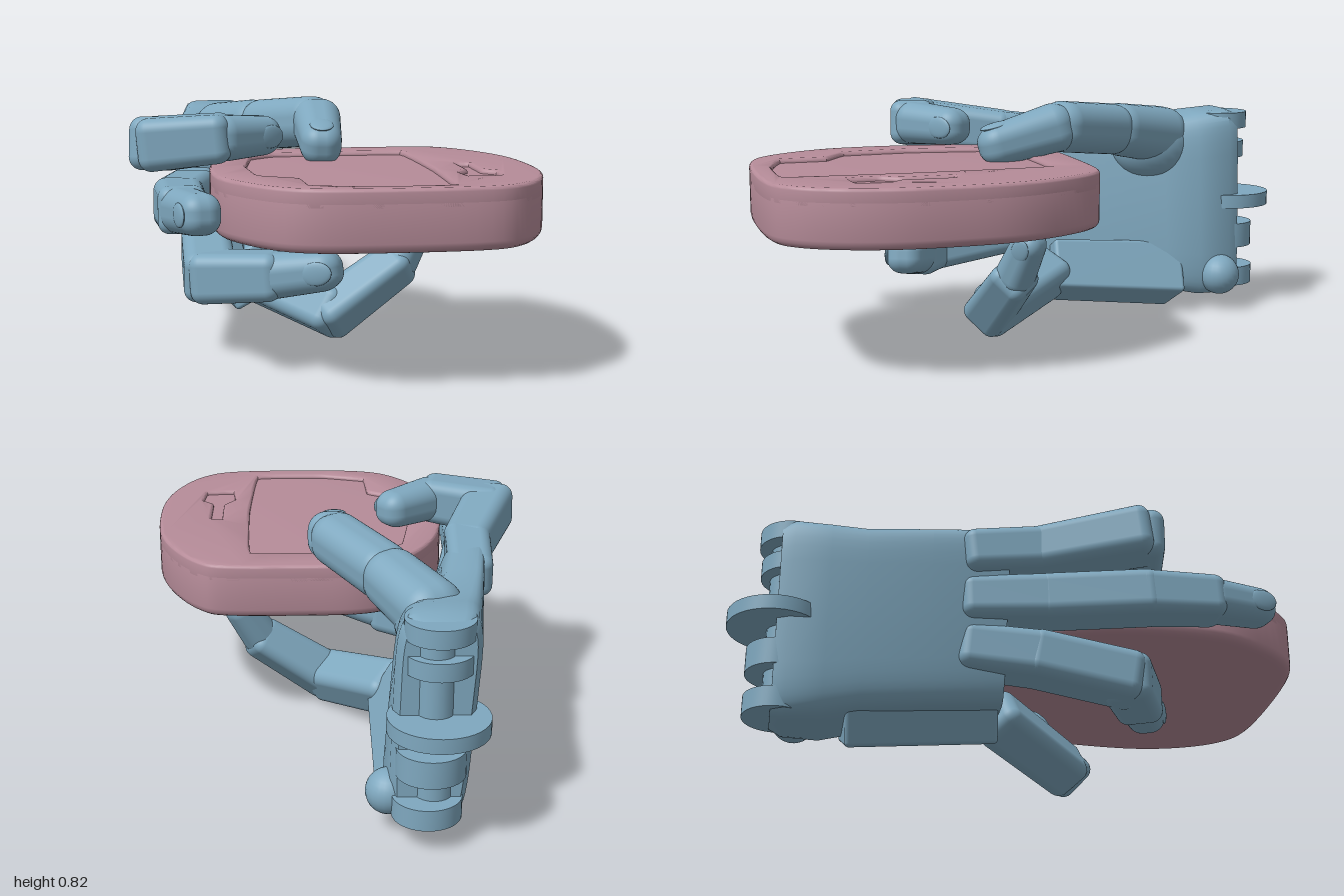
import * as THREE from 'three';
import { toCreasedNormals } from 'three/addons/utils/BufferGeometryUtils.js';
import { RoundedBoxGeometry } from 'three/addons/geometries/RoundedBoxGeometry.js';

const blue = new THREE.MeshStandardMaterial({ color: 0x7fa8bf });
const pink = new THREE.MeshStandardMaterial({ color: 0xb68c99 });
const V = (p) => new THREE.Vector3(...p);

function add(parent, name, geometry, material = blue) {
  const mesh = new THREE.Mesh(geometry, material);
  mesh.name = name;
  parent.add(mesh);
  return mesh;
}

// Tapered rounded block from a to b; its local x is the hinge axis and y the back of the finger
function segment(parent, name, a, b, r0, r1, hinge, tip, soft) {
  const dir = b.clone().sub(a);
  const back = r0 * 0.6, front = tip ? 0 : r1 * 0.55;
  const length = dir.length() + back + front;
  dir.normalize();
  const geo = new RoundedBoxGeometry(2, 2, length / r0, 5, soft);
  const pos = geo.attributes.position;
  for (let i = 0; i < pos.count; i++) {
    const t = pos.getZ(i) * r0 / length + 0.5;
    const r = THREE.MathUtils.lerp(r0, r1, t);
    pos.setXYZ(i, pos.getX(i) * r, pos.getY(i) * r, pos.getZ(i) * r0);
  }
  const mesh = add(parent, name, geo);
  const y = dir.clone().cross(hinge).normalize();
  const x = y.clone().cross(dir);
  mesh.quaternion.setFromRotationMatrix(new THREE.Matrix4().makeBasis(x, y, dir));
  mesh.position.copy(a).addScaledVector(dir, (length / 2) - back);
  if (tip) {
    const nail = add(mesh, 'nail', new THREE.SphereGeometry(1, 16, 10));
    nail.scale.set(r1 * 0.62, r1 * 0.16, r1 * 0.85);
    nail.position.set(0, r1, length / 2 - r1 * 1.15);
  }
}

// A finger is a chain of segments; the hinge follows from its curl unless given
function finger(parent, name, points, radii, hinge, soft = 0.5) {
  const group = new THREE.Group();
  group.name = name;
  parent.add(group);
  const p = points.map(V), n = p.length - 1;
  const axis = hinge ? V(hinge)
    : p[1].clone().sub(p[0]).cross(p[n].clone().sub(p[n - 1])).normalize();
  for (let i = 0; i < n; i++) {
    const tip = i === n - 1;
    segment(group, tip ? 'fingertip' : 'phalanx', p[i], p[i + 1],
      radii[i], radii[i + 1], axis, tip, tip ? 0.8 : soft);
  }
}

// Palm: rounded four-cornered sections along z, thick at the wrist and thin at the knuckles
function palmGeometry() {
  // z, then corners: top outer, top inner, bottom inner, bottom outer
  const sections = [
    [-0.84, [-0.41, 0.73], [-0.18, 0.73], [-0.16, 0.06], [-0.36, 0.06]],
    [-0.80, [-0.43, 0.745], [-0.16, 0.745], [-0.14, 0.04], [-0.38, 0.05]],
    [-0.68, [-0.445, 0.735], [-0.17, 0.73], [-0.12, 0.04], [-0.38, 0.07]],
    [-0.56, [-0.46, 0.72], [-0.23, 0.70], [-0.15, 0.06], [-0.38, 0.10]],
    [-0.35, [-0.485, 0.72], [-0.32, 0.70], [-0.18, 0.10], [-0.385, 0.12]],
    [-0.10, [-0.515, 0.72], [-0.37, 0.71], [-0.2, 0.14], [-0.38, 0.14]],
  ];
  const n = 40, verts = [], index = [];
  const pow = (c) => Math.sign(c) * Math.pow(Math.abs(c), 0.35);
  for (const [z, to, ti, bi, bo] of sections) {
    for (let j = 0; j < n; j++) {
      const a = (j / n) * Math.PI * 2;
      const u = (pow(Math.cos(a)) + 1) / 2, v = (pow(Math.sin(a)) + 1) / 2;
      const mix = (k) => (to[k] * (1 - u) + ti[k] * u) * v + (bo[k] * (1 - u) + bi[k] * u) * (1 - v);
      verts.push(mix(0), mix(1), z);
    }
  }
  const last = sections.length - 1;
  for (let i = 0; i < last; i++) {
    for (let j = 0; j < n; j++) {
      const a = i * n + j, b = i * n + (j + 1) % n;
      index.push(a, b, a + n, b, b + n, a + n);
    }
  }
  for (let j = 1; j < n - 1; j++) {
    index.push(0, j + 1, j, last * n, last * n + j, last * n + j + 1);
  }
  const geo = new THREE.BufferGeometry();
  geo.setAttribute('position', new THREE.Float32BufferAttribute(verts, 3));
  geo.setIndex(index);
  return toCreasedNormals(geo, 0.6);
}

// Held slab: closed outline in x and z, extruded downwards from its top
const outline = [
  [0.1, -0.1], [0.38, -0.095], [0.48, -0.05], [0.57, 0.08], [0.63, 0.24], [0.65, 0.42],
  [0.645, 0.62], [0.6, 0.79], [0.52, 0.92], [0.4, 0.985], [0.12, 1.0], [-0.12, 0.98],
  [-0.25, 0.9], [-0.36, 0.72], [-0.39, 0.55], [-0.385, 0.36], [-0.355, 0.2], [-0.29, 0.06],
  [-0.2, -0.04], [-0.08, -0.09],
];
function closedPath(points, Type, tension) {
  const curve = new THREE.CatmullRomCurve3(
    points.map(([x, z]) => new THREE.Vector3(x, z, 0)), true, 'catmullrom', tension);
  return new Type(curve.getPoints(points.length * 5).slice(0, -1)
    .map((p) => new THREE.Vector2(p.x, p.y)));
}
function plate(top, bottom, bevel, holes) {
  const shape = closedPath(outline, THREE.Shape, 0.5);
  shape.holes = holes.map((h) => closedPath(h, THREE.Path, 0.1));
  const geo = new THREE.ExtrudeGeometry(shape, {
    depth: top - bottom - 2 * bevel, bevelSize: bevel, bevelThickness: bevel,
    bevelOffset: -bevel, bevelSegments: 4,
  });
  geo.rotateX(Math.PI / 2).translate(0, top - bevel, 0);
  return toCreasedNormals(geo, 0.7);
}

export function createModel() {
  const model = new THREE.Group();
  model.name = 'handHoldingSlab';

  // Slab with a shallow tray and a small slot in its top
  const slab = new THREE.Group();
  slab.name = 'slab';
  model.add(slab);
  const tray = [[-0.14, 0.05], [0.3, 0.04], [0.32, 0.5], [0.3, 0.92], [0.05, 0.93],
    [-0.12, 0.88], [-0.13, 0.72], [-0.25, 0.64], [-0.27, 0.4], [-0.23, 0.13]];
  const slot = [[0.42, 0.4], [0.46, 0.41], [0.46, 0.58], [0.5, 0.62], [0.49, 0.72],
    [0.39, 0.73], [0.38, 0.63], [0.42, 0.57]];
  add(slab, 'slabBody', plate(0.613, 0.435, 0.03, []), pink);
  add(slab, 'slabRim', plate(0.628, 0.56, 0.012, [tray, slot]), pink);

  const hand = new THREE.Group();
  hand.name = 'hand';
  model.add(hand);
  add(hand, 'palm', palmGeometry());

  // Tilted block along the lower edge of the palm, behind the little finger
  segment(hand, 'palmHeel', V([-0.235, 0.125, -0.55]), V([-0.225, 0.16, -0.16]),
    0.1, 0.092, V([0.88, 0.47, 0]), false, 0.15);

  // Wrist hinge: stacked discs on a vertical axis: x, y, z, radius, thickness
  const discs = [[-0.29, 0.7, -0.8, 0.11, 0.06], [-0.29, 0.59, -0.79, 0.11, 0.06],
    [-0.29, 0.4, -0.84, 0.16, 0.05], [-0.27, 0.265, -0.82, 0.11, 0.09], [-0.26, 0.11, -0.82, 0.11, 0.07]];
  for (const [x, y, z, r, h] of discs) {
    add(hand, 'wristDisc', toCreasedNormals(new THREE.CylinderGeometry(r, r, h, 40), 0.6))
      .position.set(x, y, z);
  }
  add(hand, 'wristPin', new THREE.CylinderGeometry(0.06, 0.06, 0.58, 20)).position.set(-0.28, 0.41, -0.81);
  add(hand, 'wristKnob', new THREE.SphereGeometry(0.075, 24, 16)).position.set(-0.145, 0.125, -0.76);

  // Fingers from the palm edge to the tip
  finger(hand, 'indexFinger',
    [[-0.44, 0.635, -0.2], [-0.45, 0.66, 0.02], [-0.555, 0.695, 0.32], [-0.355, 0.715, 0.37], [-0.16, 0.71, 0.22]],
    [0.075, 0.078, 0.088, 0.078, 0.062], [0, 1, 0]);
  finger(hand, 'middleFinger',
    [[-0.4, 0.48, -0.2], [-0.43, 0.49, 0.05], [-0.485, 0.505, 0.36], [-0.485, 0.515, 0.58], [-0.425, 0.53, 0.81]],
    [0.075, 0.082, 0.082, 0.074, 0.062], [0, 1, 0]);
  finger(hand, 'ringFinger',
    [[-0.36, 0.32, -0.2], [-0.38, 0.3, 0.02], [-0.385, 0.25, 0.31], [-0.19, 0.265, 0.4], [0.03, 0.3, 0.49]],
    [0.08, 0.085, 0.086, 0.078, 0.063], [0, 1, 0]);
  finger(hand, 'littleFinger',
    [[-0.18, 0.16, -0.08], [0.04, 0.09, 0.18], [0.27, 0.25, 0.16], [0.37, 0.42, 0.12]],
    [0.085, 0.08, 0.068, 0.052]);

  // Thumb rising from a mound at the top of the palm
  const mound = add(hand, 'thumbMound', new THREE.SphereGeometry(0.12, 28, 18));
  mound.position.set(-0.28, 0.61, -0.53);
  mound.scale.set(0.95, 1.1, 1.3);
  finger(hand, 'thumb',
    [[-0.29, 0.645, -0.58], [-0.15, 0.69, -0.33], [0.02, 0.725, -0.07], [0.005, 0.65, 0.21]],
    [0.108, 0.092, 0.088, 0.066], [1, 0, 0], 0.85);

  return model;
}
